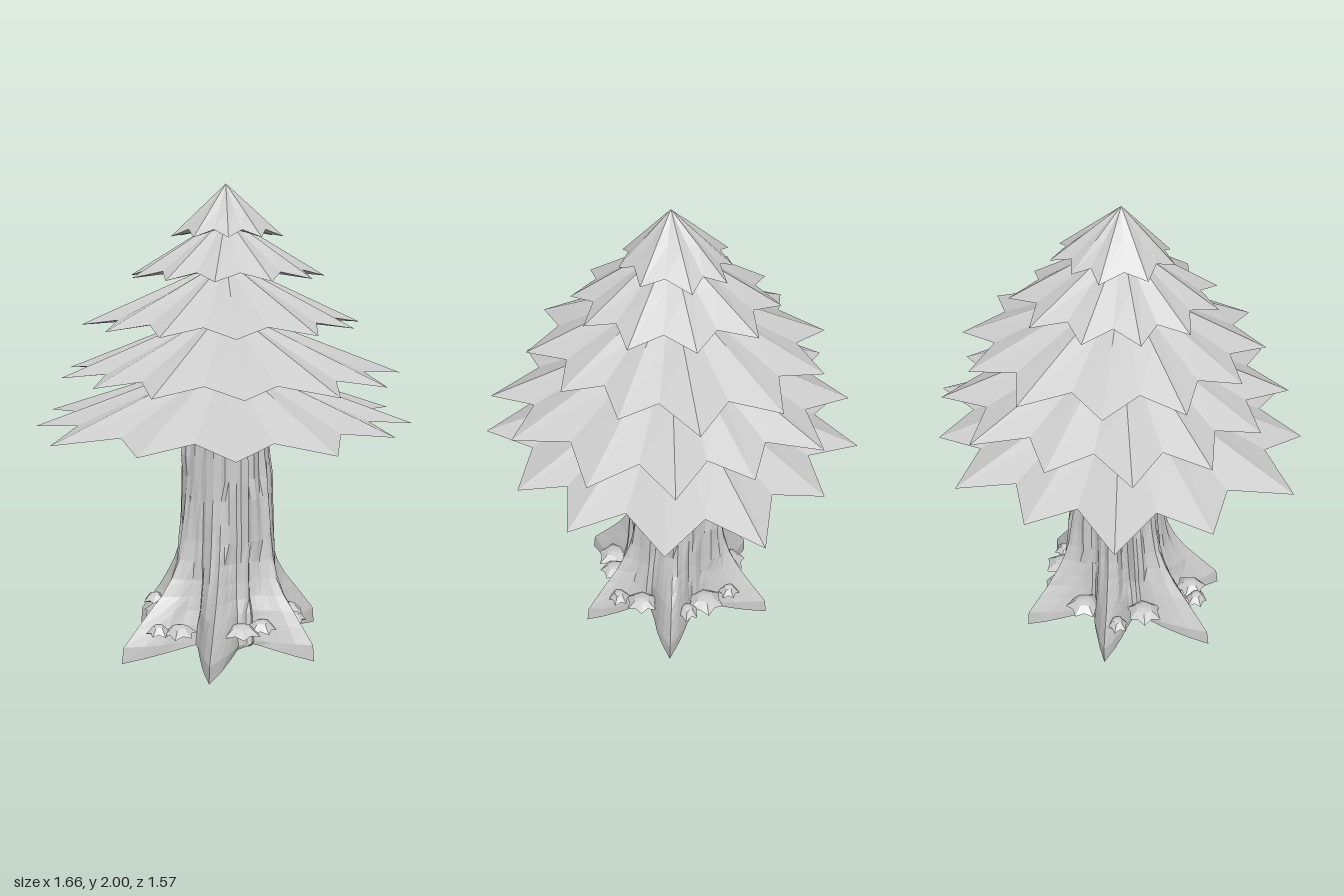
import * as THREE from 'three';

const bark = new THREE.MeshStandardMaterial({ color: 0xcccccc, flatShading: true });
const foliage = bark.clone();
const fungus = bark.clone();
const RAD = Math.PI / 180;

// repeatable noise in -1..1
function noise(a, b = 0) {
  const s = Math.sin(a * 127.1 + b * 311.7) * 43758.5453;
  return (s - Math.floor(s)) * 2 - 1;
}

// skin a list of closed rings, listed so that faces look outward
function loft(rings) {
  const n = rings[0].length;
  const index = [];
  for (let r = 0; r < rings.length - 1; r++) {
    for (let i = 0; i < n; i++) {
      const j = (i + 1) % n;
      const a = r * n + i, b = r * n + j, c = a + n, d = b + n;
      index.push(a, c, b, b, c, d);
    }
  }
  const geo = new THREE.BufferGeometry().setFromPoints(rings.flat());
  geo.setIndex(index);
  geo.computeVertexNormals();
  return geo;
}

const polar = (angle, r, y) => new THREE.Vector3(Math.cos(angle) * r, y, Math.sin(angle) * r);

function add(group, name, geo, material) {
  const mesh = new THREE.Mesh(geo, material);
  mesh.name = name;
  group.add(mesh);
  return mesh;
}

// pleated star cone over tips [angle, radius], with a raised notch between each pair
function starCone({ tips, notch, drop, height, underside, slope }) {
  const rim = tips.flatMap(([angle, r], i) => {
    const [nextAngle, nextR] = tips[(i + 1) % tips.length];
    const gap = (nextAngle - angle + 360) % 360;
    return [
      { angle: angle * RAD, r, lift: 0 },
      { angle: (angle + gap / 2) * RAD, r: ((r + nextR) / 2) * notch, lift: drop },
    ];
  });
  const ring = (scale, y, lift) => rim.map((p) => polar(p.angle, p.r * scale, y + p.lift * lift));
  return loft([
    ring(0, underside, 0),
    ring(1, 0, 1),
    ring(0.5, height * slope[0], 0.35),
    ring(0.2, height * slope[1], 0.1),
    ring(0, height, 0),
  ]);
}

// foliage layers, lowest first
const TIERS = [
  { y: 0.995, height: 0.29, tips: [[1, 0.83], [29, 0.8], [53, 0.76], [85, 0.79], [114, 0.77], [142, 0.77],
    [171, 0.84], [200, 0.81], [227, 0.85], [254, 0.77], [281, 0.8], [308, 0.78], [335, 0.86]] },
  { y: 1.205, height: 0.29, tips: [[-2, 0.75], [24, 0.75], [57, 0.74], [82, 0.75], [111, 0.68], [140, 0.7],
    [169, 0.66], [196, 0.7], [222, 0.72], [250, 0.69], [278, 0.74], [307, 0.75], [333, 0.71]] },
  { y: 1.42, height: 0.27, tips: [[-10, 0.66], [19, 0.58], [48, 0.56], [80, 0.59], [113, 0.59], [142, 0.59],
    [172, 0.58], [202, 0.61], [232, 0.6], [263, 0.64], [292, 0.65], [320, 0.66]] },
  { y: 1.62, height: 0.25, tips: [[-14, 0.42], [22, 0.42], [56, 0.4], [90, 0.4], [123, 0.4], [153, 0.4],
    [186, 0.41], [215, 0.41], [246, 0.42], [278, 0.44], [312, 0.45]] },
  { y: 1.785, height: 0.215, tips: [[-17, 0.28], [28, 0.24], [73, 0.21], [114, 0.21], [153, 0.22],
    [199, 0.23], [245, 0.25], [278, 0.24], [310, 0.28]] },
];

// roots: [angle, reach]
const ROOTS = [[0, 0.46], [60, 0.45], [125, 0.48], [175, 0.52], [235, 0.45], [290, 0.48]];

// trunk profile: [y, radius between roots, share of the root reach]
const PROFILE = [
  [0, 0.23, 1], [0.07, 0.23, 0.97], [0.14, 0.22, 0.75], [0.2, 0.213, 0.57],
  [0.26, 0.207, 0.4], [0.33, 0.2, 0.26], [0.41, 0.197, 0.15], [0.5, 0.193, 0.1],
  [0.59, 0.19, 0.06], [0.68, 0.187, 0.03], [0.77, 0.185, 0], [0.86, 0.182, 0],
  [0.95, 0.178, 0], [1.04, 0.17, 0],
];

function trunkGeometry() {
  const columns = 72;
  const rings = PROFILE.map(([y, radius, share], row) => {
    const ring = [];
    for (let i = 0; i < columns; i++) {
      const deg = (i * 360) / columns;
      let lobe = 0, reach = 0;
      for (const [angle, length] of ROOTS) {
        const gap = Math.abs(((deg - angle + 540) % 360) - 180);
        const l = Math.max(0, 1 - gap / 28) ** 1.8;
        if (l > lobe) { lobe = l; reach = length; }
      }
      // bark slabs three columns wide, stepping in or out at their own heights
      const slab = Math.floor(i / 3);
      const block = Math.floor(row / 3 + noise(slab, 7) * 2);
      const depth = noise(slab, 3) * 0.012 + noise(slab, block) * 0.01 + noise(i, block) * 0.005;
      const r = radius + lobe * share * Math.max(0, reach - radius) + depth * (1 - lobe * share);
      const p = polar(deg * RAD, r, row === 0 ? 0.055 * (1 - lobe) : y);
      const shift = Math.min(1, y * 2);
      p.x += 0.015 * shift;
      p.z -= 0.015 * shift;
      ring.push(p);
    }
    return ring;
  });
  // close the arched bottom and the hidden top
  const point = (y) => rings[0].map(() => new THREE.Vector3(0, y, 0));
  return loft([point(0.12), ...rings, point(1.05)]);
}

// bracket mushrooms: [angle, distance from axis, size]
const MUSHROOMS = [
  [28, 0.28, 0.075], [48, 0.32, 0.05], [82, 0.27, 0.07], [103, 0.28, 0.085],
  [152, 0.34, 0.075], [163, 0.39, 0.055], [205, 0.29, 0.08], [228, 0.35, 0.05],
  [262, 0.28, 0.08], [302, 0.32, 0.05], [325, 0.28, 0.085], [345, 0.31, 0.055],
];

export function createModel() {
  const model = new THREE.Group();
  model.name = 'tree';

  add(model, 'trunkAndRoots', trunkGeometry(), bark);

  // stacked foliage skirts
  TIERS.forEach(({ y, height, tips }, k) => {
    const geo = starCone({ tips, height, notch: 0.79, drop: 0.03, underside: 0.04, slope: [0.5, 0.8] });
    add(model, `foliageLayer${k + 1}`, geo, foliage).position.y = y;
  });

  // ring of small mushrooms round the foot
  const ring = new THREE.Group();
  ring.name = 'mushrooms';
  MUSHROOMS.forEach(([deg, r, size], k) => {
    const tips = Array.from({ length: 6 }, (_, i) => [k * 17 + i * 60, size * (1 + noise(i, k) * 0.12)]);
    const geo = starCone({ tips, height: 0.04, notch: 0.75, drop: 0.01, underside: -0.006, slope: [0.8, 0.95] });
    add(ring, 'mushroomCap', geo, fungus).position.copy(polar(deg * RAD, r, 0.135));
  });
  model.add(ring);

  return model;
}
